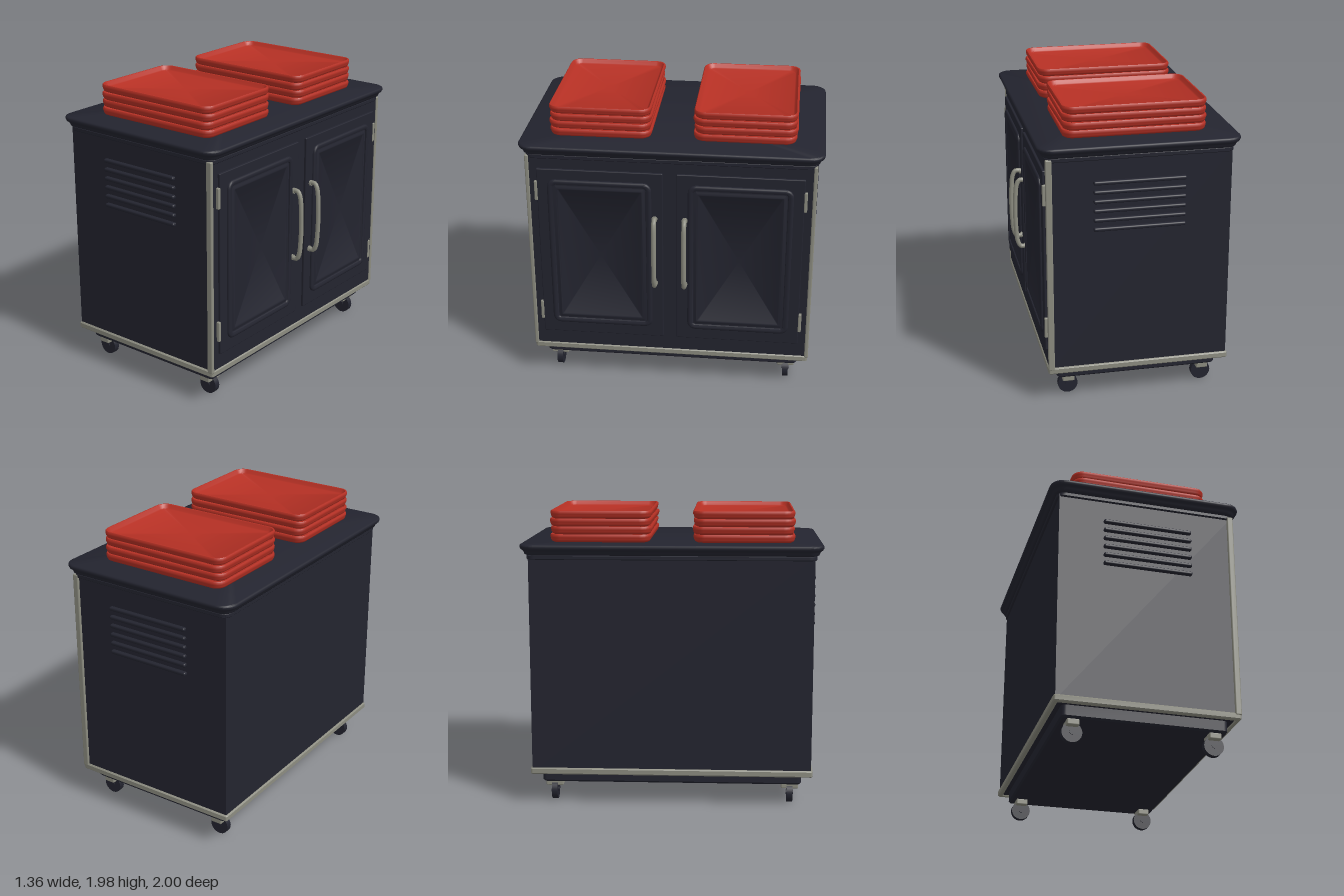
import * as THREE from 'three';
import { toCreasedNormals } from 'three/addons/utils/BufferGeometryUtils.js';
import { RoundedBoxGeometry } from 'three/addons/geometries/RoundedBoxGeometry.js';

function material(name, color) {
  const m = new THREE.MeshStandardMaterial({ color });
  m.name = name;
  return m;
}

// Stacked rounded-rectangle loops: each profile row is [inset, y]
function loft(hx, hz, radius, profile, capped = true, seg = 6) {
  const pos = [], index = [];
  const n = 4 * (seg + 1);
  for (const [inset, y] of profile) {
    const r = Math.max(radius - inset, 0.004);
    for (let q = 0; q < 4; q++) {
      const sx = q === 0 || q === 3 ? 1 : -1;
      const sz = q < 2 ? -1 : 1;
      for (let k = 0; k <= seg; k++) {
        const a = (q + k / seg) * Math.PI / 2;
        pos.push(sx * (hx - inset - r) + r * Math.cos(a), y, sz * (hz - inset - r) - r * Math.sin(a));
      }
    }
  }
  const rows = profile.length;
  for (let j = 0; j < rows - 1; j++) {
    for (let i = 0; i < n; i++) {
      const a = j * n + i, b = j * n + (i + 1) % n;
      index.push(a, b, b + n, a, b + n, a + n);
    }
  }
  if (capped) {
    const c = pos.length / 3, top = (rows - 1) * n;
    pos.push(0, profile[0][1], 0, 0, profile[rows - 1][1], 0);
    for (let i = 0; i < n; i++) {
      const k = (i + 1) % n;
      index.push(c, k, i, c + 1, top + i, top + k);
    }
  }
  const g = new THREE.BufferGeometry();
  g.setAttribute('position', new THREE.Float32BufferAttribute(pos, 3));
  g.setIndex(index);
  g.computeVertexNormals();
  return toCreasedNormals(g, 0.7);
}

export function createModel() {
  const root = new THREE.Group();
  root.name = 'trayCart';
  const dark = material('charcoal', 0x23242f);
  const grey = material('warmGrey', 0x8c8c80);
  const red = material('trayRed', 0xb53024);

  function add(name, geometry, mat, x, y, z, parent = root) {
    const mesh = new THREE.Mesh(geometry, mat);
    mesh.name = name;
    mesh.position.set(x, y, z);
    parent.add(mesh);
    return mesh;
  }
  const box = (w, h, d) => new THREE.BoxGeometry(w, h, d);
  const rbox = (w, h, d, r) => new RoundedBoxGeometry(w, h, d, 3, r);

  // Cabinet, plinth and bottom trim ring
  add('cabinet', box(1.195, 1.47, 1.88), dark, -0.0225, 0.955, 0);
  add('plinth', loft(0.54, 0.88, 0.03, [[0.012, 0.14], [0, 0.152], [0, 0.23]]), dark, -0.025, 0, 0);
  add('bottomTrim', loft(0.607, 0.952, 0.015, [
    [0.035, 0.225], [0.03, 0.21], [0.008, 0.21], [0, 0.218], [0, 0.247], [0.008, 0.255], [0.03, 0.255],
  ], false), grey, -0.025, 0, 0);

  // Moulded countertop
  add('countertop', loft(0.655, 1, 0.1, [
    [0.05, 1.67], [0.045, 1.675], [0.045, 1.695], [0.052, 1.7], [0.042, 1.7], [0.032, 1.706],
    [0.027, 1.72], [0.018, 1.732], [0.008, 1.738], [0.002, 1.748], [0, 1.758], [0.004, 1.766], [0.012, 1.77],
  ]), dark, -0.025, 0, 0);

  // Stacks of four slightly twisted trays
  const tray = loft(0.47, 0.338, 0.075, [
    [0.025, 0], [0.01, 0.008], [0.004, 0.02], [0.004, 0.026], [0, 0.032], [0, 0.046], [0.005, 0.053],
    [0.013, 0.053], [0.018, 0.048], [0.027, 0.03], [0.036, 0.024],
  ]);
  const twists = [0.006, -0.009, 0.01, -0.003];
  for (const s of [-1, 1]) {
    const stack = new THREE.Group();
    stack.name = s > 0 ? 'leftTrayStack' : 'rightTrayStack';
    stack.position.set(-0.025, 1.77, s * 0.477);
    root.add(stack);
    twists.forEach((t, i) => {
      add('tray', tray, red, 0, i * 0.052, 0, stack).rotation.y = t * s;
    });
  }

  // Doors with raised mouldings, hinges and bowed handles
  const door = rbox(0.03, 1.24, 0.835, 0.006);
  const moulding = loft(0.545, 0.345, 0.055, [
    [0, 0], [0, 0.008], [0.005, 0.014], [0.013, 0.017], [0.025, 0.017], [0.034, 0.013],
    [0.038, 0.004], [0.05, 0.004], [0.06, 0.011], [0.066, 0.011], [0.072, 0.006],
  ]);
  const handlePath = new THREE.CatmullRomCurve3([
    [0.585, 1.272], [0.63, 1.274], [0.65, 1.24], [0.661, 1.14], [0.664, 1.03],
    [0.661, 0.92], [0.65, 0.82], [0.63, 0.786], [0.585, 0.788],
  ].map(([x, y]) => new THREE.Vector3(x, y, 0)));
  const handle = new THREE.TubeGeometry(handlePath, 40, 0.016, 10);
  const foot = new THREE.CylinderGeometry(0.02, 0.02, 0.014, 14);
  for (const s of [-1, 1]) {
    add('door', door, dark, 0.577, 0.98, s * 0.4625);
    add('doorMoulding', moulding, dark, 0.591, 0.985, s * 0.465).rotation.z = -Math.PI / 2;
    add('handle', handle, grey, 0, 0, s * 0.1);
    for (const y of [0.788, 1.272]) {
      add('handleFoot', foot, grey, 0.597, y, s * 0.1).rotation.z = Math.PI / 2;
    }
    for (const y of [0.525, 1.44]) add('hinge', rbox(0.035, 0.14, 0.022, 0.006), grey, 0.578, y, s * 0.887);
    add('cornerPost', rbox(0.042, 1.45, 0.026, 0.008), grey, 0.562, 0.965, s * 0.943);

    // Six louvres on each end
    for (let i = 0; i < 6; i++) {
      add('louvre', rbox(0.6, 0.026, 0.045, 0.011), dark, -0.02, 1.52 - i * 0.062, s * 0.943);
    }
  }

  // Casters
  const wheel = new THREE.CylinderGeometry(0.066, 0.066, 0.04, 28).rotateX(Math.PI / 2);
  const axle = new THREE.CylinderGeometry(0.016, 0.016, 0.05, 12).rotateX(Math.PI / 2);
  for (const x of [-0.485, 0.435]) {
    for (const s of [-1, 1]) {
      const caster = new THREE.Group();
      caster.name = 'caster';
      caster.position.set(x, 0, s * 0.803);
      root.add(caster);
      add('wheel', wheel, dark, 0, 0.066, 0, caster);
      add('axle', axle, dark, 0, 0.066, 0, caster);
      add('casterMount', rbox(0.08, 0.042, 0.118, 0.008), grey, 0, 0.122, 0, caster);
    }
  }
  return root;
}
